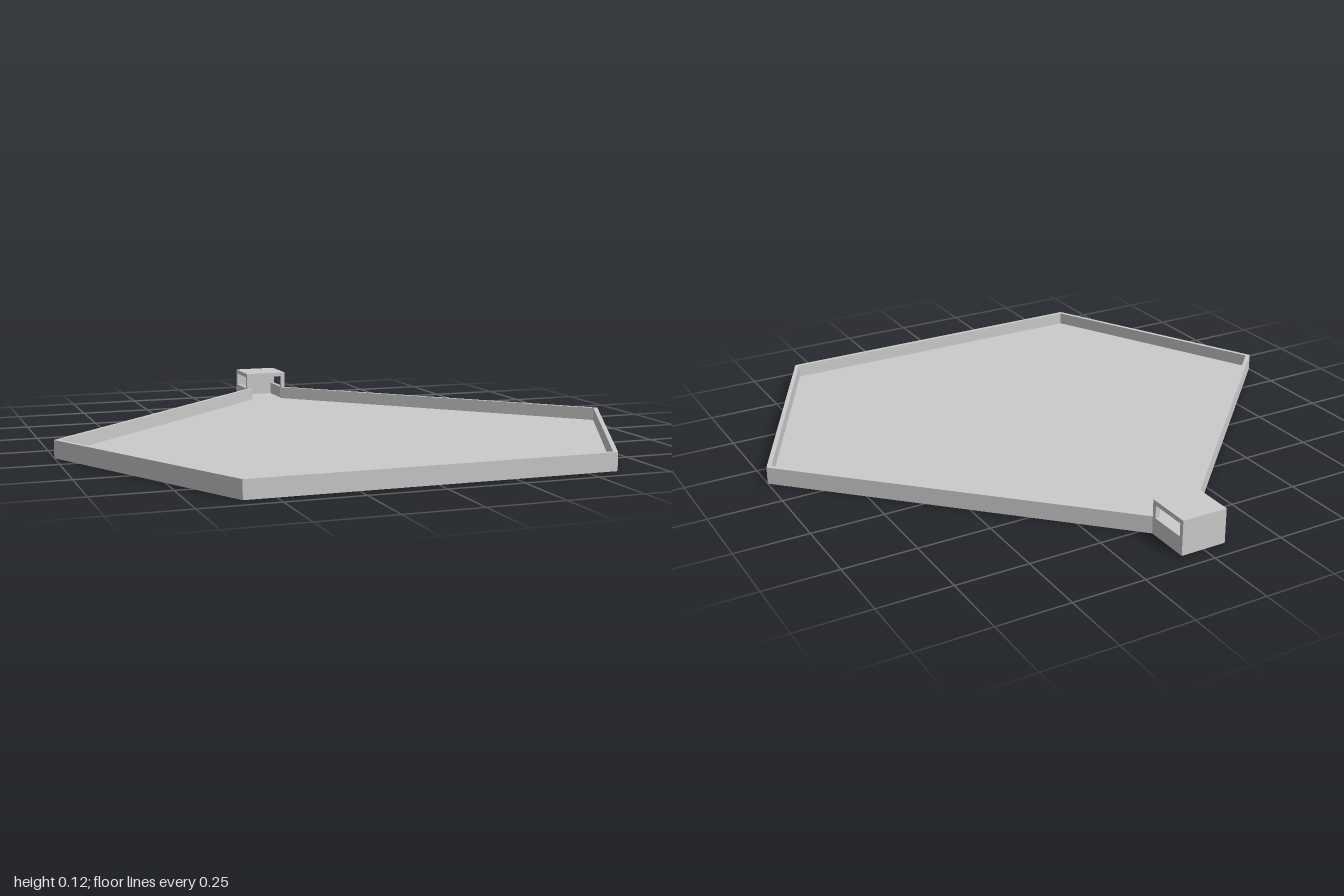
import * as THREE from 'three';

const T = 0.015;      // wall and floor thickness
const RIM = 0.06;     // tray height
const TOP = 0.12;     // hood height
const HW = 0.08;      // hood half width
const FRONT = -0.78, BACK = -0.94; // hood z range

const material = new THREE.MeshStandardMaterial({ color: 0xcccccc, flatShading: true });

function addMesh(group, name, geometry) {
  const mesh = new THREE.Mesh(geometry, material);
  mesh.name = name;
  group.add(mesh);
}

// Extrude an [x, z] outline upward from y0 to y1
function slab(points, y0, y1) {
  const shape = new THREE.Shape(points.map(([x, z]) => new THREE.Vector2(x, -z)));
  return new THREE.ExtrudeGeometry(shape, { depth: y1 - y0, bevelEnabled: false })
    .rotateX(-Math.PI / 2).translate(0, y0, 0);
}

// Complete a half outline with its mirror image
const mirrored = (half) => [...half, ...half.map(([x, z]) => [-x, z]).reverse()];

function rectangle(Type, x0, x1, y0, y1) {
  return new Type([[x0, y0], [x1, y0], [x1, y1], [x0, y1]].map((p) => new THREE.Vector2(...p)));
}

export function createModel() {
  const model = new THREE.Group();
  model.name = 'tray';

  const outer = [[HW, FRONT], [1, 0.14], [0.6, 0.94]];
  const inner = [[0.059, FRONT], [0.982, 0.143], [0.591, 0.925]];

  // Floor runs on under the hood
  addMesh(model, 'floor', slab(mirrored([[HW, BACK], ...outer]), 0, T));

  // Rim, open at the back where the hood joins
  addMesh(model, 'rim', slab([...mirrored(outer), ...mirrored(inner).reverse()], T, RIM));

  // Hood over the outlet, open toward the tray
  const hood = new THREE.Group();
  hood.name = 'hood';
  model.add(hood);
  for (const [name, x] of [['hoodLeftWall', HW], ['hoodRightWall', -HW + T]]) {
    const side = rectangle(THREE.Shape, BACK, FRONT, T, TOP - T);
    side.holes.push(rectangle(THREE.Path, BACK + T, FRONT - T, RIM, TOP - T - 0.0005));
    const wall = new THREE.ExtrudeGeometry(side, { depth: T, bevelEnabled: false });
    addMesh(hood, name, wall.rotateY(-Math.PI / 2).translate(x, 0, 0));
  }
  const inside = HW - T;
  addMesh(hood, 'hoodBackWall',
    slab(mirrored([[inside, BACK], [inside, BACK + T]]), T, TOP - T));
  addMesh(hood, 'hoodRoof', slab(mirrored([[HW, BACK], [HW, FRONT]]), TOP - T, TOP));

  return model;
}
